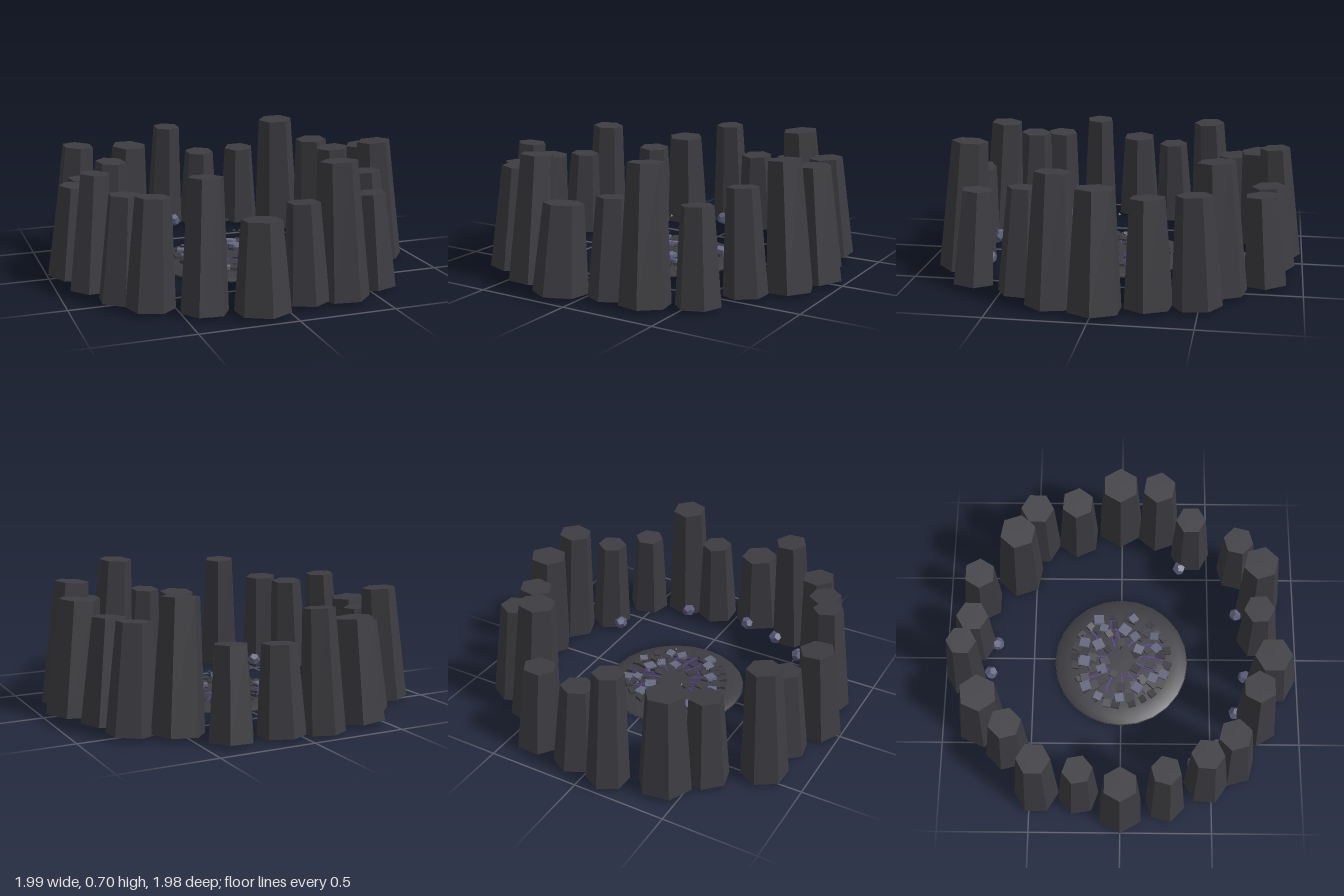
import * as THREE from 'three';

const mat = (name, color, flatShading = true) => {
  const m = new THREE.MeshStandardMaterial({ color, flatShading });
  m.name = name;
  return m;
};

// small seeded generator for the scattered debris
function seeded(seed) {
  return () => {
    seed = (seed * 16807) % 2147483647;
    return seed / 2147483647;
  };
}

export function createModel() {
  const group = new THREE.Group();
  const basalt = mat('basalt', 0x3d3c41);
  const mound = mat('dark ground', 0x3d3c41, false);
  const slate = mat('pale slate', 0x686a82);
  const pebble = mat('blue grey pebble', 0x5c5d7b);
  const violet = mat('violet glow', 0x54399a);

  const add = (name, geometry, material, x, y, z, parent = group) => {
    const mesh = new THREE.Mesh(geometry, material);
    mesh.name = name;
    mesh.position.set(x, y, z);
    parent.add(mesh);
    return mesh;
  };

  // ring of tapered hexagonal columns: x, z, base radius, height, corner angle
  const columns = [
    [-0.12, -0.88, 0.11, 0.62, 30], [0.09, -0.84, 0.12, 0.46, 30],
    [0.345, -0.81, 0.12, 0.475, 0], [0.52, -0.595, 0.135, 0.68, 10],
    [0.72, -0.49, 0.125, 0.56, 30], [0.765, -0.26, 0.125, 0.55, 5],
    [0.85, -0.01, 0.14, 0.61, 0], [0.81, 0.215, 0.125, 0.67, 10],
    [0.66, 0.4, 0.112, 0.55, 30], [0.55, 0.67, 0.115, 0.5, -15],
    [0.325, 0.785, 0.13, 0.7, 15], [0.125, 0.78, 0.115, 0.51, 28],
    [-0.13, 0.85, 0.14, 0.465, 30], [-0.39, 0.755, 0.122, 0.665, 0],
    [-0.62, 0.62, 0.122, 0.56, 15], [-0.725, 0.47, 0.12, 0.545, 35],
    [-0.835, 0.245, 0.11, 0.61, -15], [-0.875, 0, 0.13, 0.5, 0],
    [-0.795, -0.23, 0.112, 0.48, 20], [-0.78, -0.46, 0.122, 0.62, 30],
    [-0.54, -0.63, 0.122, 0.48, 15], [-0.39, -0.78, 0.142, 0.54, -7],
  ];
  const tilt = 0.08;
  const ring = new THREE.Group();
  ring.name = 'columnRing';
  group.add(ring);
  for (const [x, z, r, h, corner] of columns) {
    const top = r * 0.72;
    const baseY = r * tilt;
    const length = h - baseY - top * tilt;
    const geometry = new THREE.CylinderGeometry(top, r, length, 6);
    geometry.rotateY(THREE.MathUtils.degToRad(30 - corner));
    geometry.translate(0, length / 2, 0);
    const column = add('column', geometry, basalt, x, baseY, z, ring);
    // lean towards the middle of the ring
    const axis = new THREE.Vector3(-z, 0, x).normalize();
    column.quaternion.setFromAxisAngle(axis, tilt);
  }

  // round pebbles at the inner feet of the columns
  const pebbles = [
    [-0.1, -0.74], [0.075, -0.71], [0.555, 0.335], [0.265, 0.66],
    [-0.115, 0.7], [-0.33, 0.64], [-0.52, 0.535], [-0.615, 0.405],
  ];
  pebbles.forEach(([x, z], i) => {
    add('pebble', new THREE.DodecahedronGeometry(0.038), pebble, x, 0.045, z).rotation.set(i, i * 2, 0);
  });

  // low mound in the centre
  const centre = new THREE.Group();
  centre.name = 'centre';
  centre.position.x = -0.015;
  group.add(centre);
  const profile = [[0, 0], [0.38, 0], [0.375, 0.006], [0.34, 0.019], [0.28, 0.029], [0.15, 0.034], [0, 0.035]]
    .map(([r, y]) => new THREE.Vector2(r, y));
  add('mound', new THREE.LatheGeometry(profile, 24), mound, 0, 0, 0, centre);

  // glowing cracks running outwards, each a bent pair of strips
  const rand = seeded(41);
  const strip = (r0, a0, r1, a1) => {
    const p = new THREE.Vector3(Math.cos(a0) * r0, 0.036, Math.sin(a0) * r0);
    const q = new THREE.Vector3(Math.cos(a1) * r1, 0.034, Math.sin(a1) * r1);
    const bar = add('crack', new THREE.BoxGeometry(0.008, 0.006, p.distanceTo(q)), violet, 0, 0, 0, centre);
    bar.position.addVectors(p, q).multiplyScalar(0.5);
    bar.rotation.y = Math.atan2(q.x - p.x, q.z - p.z);
  };
  for (let i = 0; i < 14; i++) {
    const a = (i / 14) * Math.PI * 2;
    const b = a + (rand() - 0.5) * 0.3;
    strip(0.085, a, 0.17, b);
    strip(0.17, b, 0.25, b + (rand() - 0.5) * 0.4);
  }

  // dark broken tiles in rings around the bare middle
  for (const [r, count, size] of [[0.1, 6, 0.05], [0.17, 12, 0.05], [0.225, 18, 0.05], [0.262, 24, 0.045]]) {
    for (let i = 0; i < count; i++) {
      const a = ((i + rand() * 0.5) / count) * Math.PI * 2;
      const d = r + (rand() - 0.5) * 0.02;
      const s = size * (0.75 + rand() * 0.4);
      const tile = add('darkTile', new THREE.BoxGeometry(s, 0.018, s * 0.9), basalt,
        Math.cos(a) * d, 0.035, Math.sin(a) * d, centre);
      tile.rotation.set((rand() - 0.5) * 0.3, -a + (rand() - 0.5) * 0.5, (rand() - 0.5) * 0.3);
    }
  }

  // pale tiles
  const pale = [
    [-0.16, -0.2], [-0.01, -0.21], [0.1, -0.21], [0.24, -0.13], [0.19, -0.1], [-0.22, -0.13],
    [-0.23, -0.01], [0.09, -0.13], [0.25, 0.07], [0.14, 0.08], [0.06, 0.1], [0.07, 0.2],
    [0.14, 0.19], [-0.17, 0.09], [-0.09, 0.24], [-0.11, 0.18], [-0.06, -0.11], [0.18, 0.02],
  ];
  for (const [x, z] of pale) {
    const s = 0.042 + rand() * 0.018;
    const tile = add('paleTile', new THREE.BoxGeometry(s, 0.02, s), slate, x, 0.042, z, centre);
    tile.rotation.set((rand() - 0.5) * 0.3, rand() * 3, (rand() - 0.5) * 0.3);
  }

  // tiny shards hovering over the mound
  for (const [x, y, z] of [[0, 0.23, 0], [0.09, 0.15, -0.04], [0.12, 0.1, -0.22], [-0.1, 0.1, -0.12], [0.02, 0.07, -0.24], [-0.14, 0.08, 0.1]]) {
    add('shard', new THREE.OctahedronGeometry(0.011), basalt, x, y, z, centre);
  }
  return group;
}
